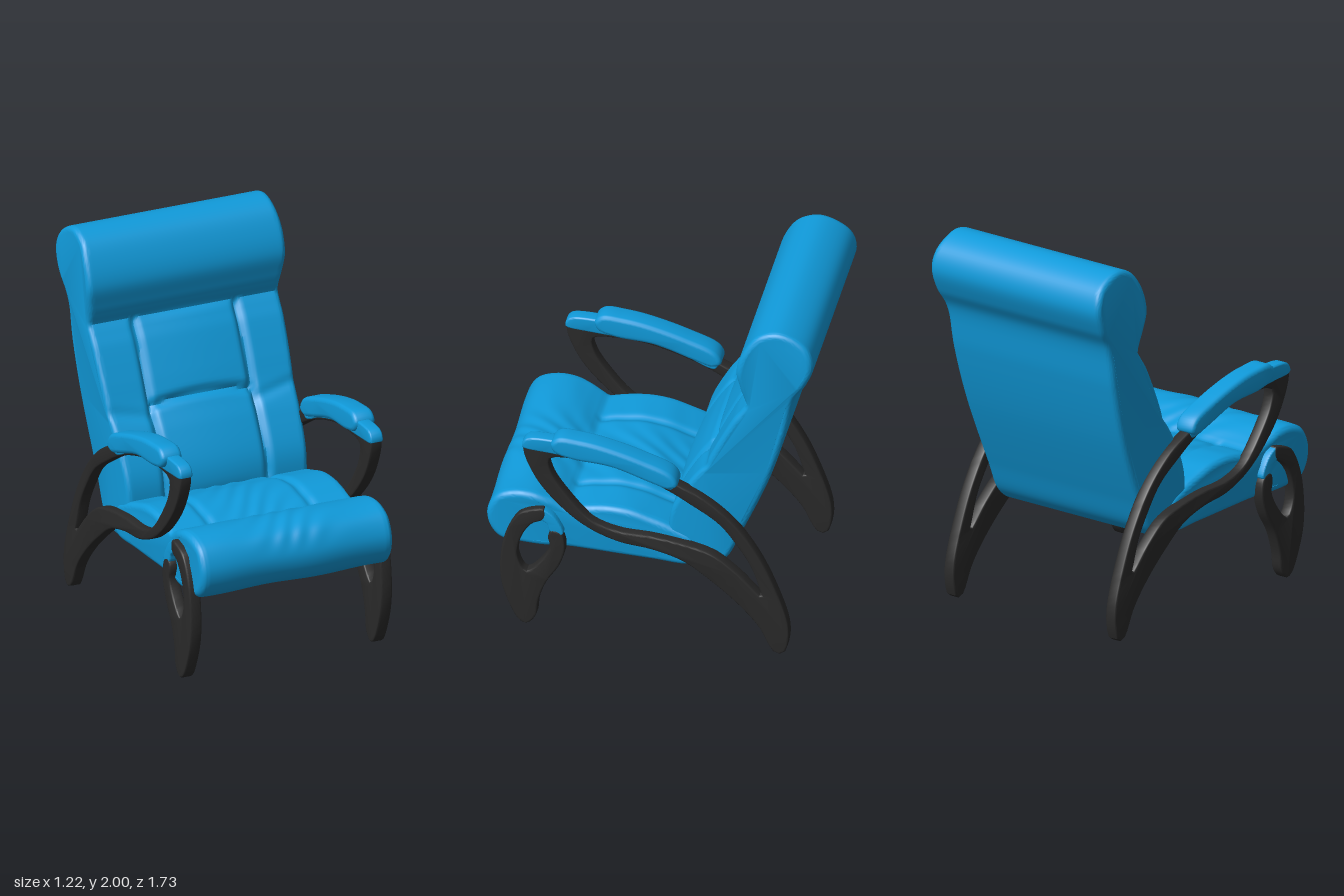
import * as THREE from 'three';
import { toCreasedNormals } from 'three/addons/utils/BufferGeometryUtils.js';

const blue = new THREE.MeshStandardMaterial({ color: 0x109ada });
blue.name = 'blue upholstery';
const black = new THREE.MeshStandardMaterial({ color: 0x2a2a2a });
black.name = 'black wood';

// Smooth closed outline through [z, y] points
function outline(points, count) {
  const curve = new THREE.CatmullRomCurve3(points.map(([z, y]) => new THREE.Vector3(z, y, 0)), true, 'centripetal');
  return curve.getSpacedPoints(count).slice(0, count).map(p => new THREE.Vector2(p.x, p.y));
}

const gauss = (d, w) => Math.exp(-(d * d) / (w * w));
const step = (v, a, b) => THREE.MathUtils.smoothstep(v, a, b);

// Cushion: a clockwise [z, y] profile swept across x with rounded ends;
// width(y) gives the half width and puff(x, y, z, nz, ny) a push along the normal
function cushion(points, count, round, width, puff) {
  const ring = outline(points, count);
  const normals = ring.map((p, j) => {
    const t = ring[(j + 1) % count].clone().sub(ring[(j + count - 1) % count]).normalize();
    return new THREE.Vector2(-t.y, t.x);
  });
  const stations = [];
  const arc = 7, inner = 76;
  for (let k = 0; k < arc; k++) stations.push([-1, k / arc * Math.PI / 2]);
  for (let k = 0; k <= inner; k++) stations.push([k / inner * 2 - 1, Math.PI / 2]);
  for (let k = arc - 1; k >= 0; k--) stations.push([1, k / arc * Math.PI / 2]);

  const pos = [], index = [];
  for (const [s, a] of stations) {
    ring.forEach((p, j) => {
      const n = normals[j], w = width(p.y, p.x);
      const x = s * (w - round) + Math.sign(s) * round * Math.cos(a);
      const push = puff(x, p.y, p.x, n.x, n.y) * Math.sin(a) - round * (1 - Math.sin(a));
      pos.push(x, p.y + n.y * push, p.x + n.x * push);
    });
  }
  for (let i = 0; i < stations.length - 1; i++) {
    for (let j = 0; j < count; j++) {
      const a = i * count + j, b = i * count + (j + 1) % count;
      index.push(a, b, a + count, b, b + count, a + count);
    }
  }
  // Flat side caps
  const last = (stations.length - 1) * count;
  const flat = ring.map((p, j) => p.clone().addScaledVector(normals[j], -round));
  for (const [a, b, c] of THREE.ShapeUtils.triangulateShape(flat, [])) {
    const ccw = THREE.ShapeUtils.area([flat[a], flat[b], flat[c]]) > 0;
    const [p, q] = ccw ? [b, c] : [c, b];
    index.push(a, p, q, last + a, last + q, last + p);
  }
  const geo = new THREE.BufferGeometry();
  geo.setAttribute('position', new THREE.Float32BufferAttribute(pos, 3));
  geo.setIndex(index);
  return toCreasedNormals(geo, 0.9);
}

// Slab: a [z, y] outline (with optional hole) extruded across x, centred on x = 0
function slab(points, width, bevel, hole) {
  const shape = new THREE.Shape(outline(points, 110));
  if (hole) shape.holes.push(new THREE.Path(outline(hole, 110)));
  const depth = width - 2 * bevel;
  const geo = new THREE.ExtrudeGeometry(shape, {
    depth, bevelEnabled: true, bevelThickness: bevel, bevelSize: bevel, bevelOffset: -bevel, bevelSegments: 3,
  });
  geo.translate(0, 0, -depth / 2).rotateY(-Math.PI / 2);
  return toCreasedNormals(geo, 0.6);
}

const backProfile = [
  [-0.30, 0.45], [-0.39, 0.51], [-0.47, 0.68], [-0.62, 1.05], [-0.71, 1.36], [-0.76, 1.60], [-0.82, 1.70],
  [-0.86, 1.82], [-0.83, 1.92], [-0.75, 1.98], [-0.66, 2.0], [-0.56, 1.96], [-0.49, 1.86], [-0.455, 1.74],
  [-0.475, 1.62], [-0.495, 1.52], [-0.43, 1.41], [-0.35, 1.25], [-0.28, 1.1], [-0.20, 0.98], [-0.11, 0.80],
  [-0.09, 0.68], [-0.10, 0.52], [-0.16, 0.46],
];
const seatProfile = [
  [-0.27, 0.49], [-0.22, 0.62], [-0.10, 0.68], [0.0, 0.715], [0.1, 0.745], [0.22, 0.755], [0.34, 0.74],
  [0.43, 0.725], [0.53, 0.77], [0.62, 0.80], [0.72, 0.80], [0.81, 0.76], [0.86, 0.66], [0.845, 0.56],
  [0.79, 0.495], [0.70, 0.48], [0.4, 0.47], [0.0, 0.455], [-0.2, 0.45],
];
const frameOuter = [
  [0.66, 1.10], [0.645, 1.155], [0.46, 1.165], [0.24, 1.14], [0.03, 1.07], [-0.15, 0.99], [-0.29, 0.92],
  [-0.45, 0.78], [-0.58, 0.59], [-0.67, 0.39], [-0.73, 0.20], [-0.735, 0.10], [-0.71, 0.01], [-0.67, 0.0],
  [-0.64, 0.03], [-0.58, 0.15], [-0.47, 0.28], [-0.31, 0.42], [-0.18, 0.51], [-0.02, 0.56], [0.16, 0.585],
  [0.32, 0.65], [0.46, 0.76], [0.59, 0.92],
];
const frameHole = [
  [0.52, 1.055], [0.40, 1.075], [0.25, 1.065], [0.05, 1.01], [-0.10, 0.945], [-0.21, 0.88], [-0.37, 0.77],
  [-0.47, 0.64], [-0.54, 0.52], [-0.58, 0.40], [-0.595, 0.345], [-0.47, 0.47], [-0.34, 0.57], [-0.21, 0.61],
  [-0.02, 0.64], [0.16, 0.65], [0.30, 0.70], [0.43, 0.84], [0.51, 0.97],
];
const wrapProfile = [
  [0.665, 1.115], [0.645, 1.165], [0.46, 1.175], [0.24, 1.15], [0.03, 1.08], [-0.14, 1.0], [-0.12, 0.955],
  [0.05, 1.02], [0.25, 1.075], [0.40, 1.085], [0.54, 1.095],
];
const padProfile = [
  [0.51, 1.17], [0.47, 1.21], [0.36, 1.208], [0.24, 1.19], [0.03, 1.13], [-0.13, 1.06], [-0.155, 1.0],
  [-0.11, 0.975], [-0.02, 1.0], [0.19, 1.07], [0.40, 1.09], [0.49, 1.12],
];
const legProfile = [
  [0.78, 0.39], [0.75, 0.56], [0.68, 0.69], [0.615, 0.72], [0.55, 0.73], [0.55, 0.67], [0.615, 0.63],
  [0.67, 0.54], [0.69, 0.42], [0.645, 0.33], [0.57, 0.40], [0.52, 0.50], [0.53, 0.56], [0.51, 0.605],
  [0.46, 0.59], [0.44, 0.50], [0.47, 0.39], [0.54, 0.27], [0.58, 0.15], [0.595, 0.05], [0.64, 0.0],
  [0.68, 0.015], [0.74, 0.13], [0.775, 0.25],
];
const legWrap = [[0.57, 0.73], [0.50, 0.69], [0.45, 0.59], [0.48, 0.57], [0.52, 0.60], [0.535, 0.64], [0.57, 0.67]];

// Seams and soft panels on the front of the backrest
function backPuff(x, y, z, nz) {
  const front = step(nz, 0.2, 0.6) * step(y, 0.6, 0.72);
  const panels = 1 - step(y, 1.49, 1.53);
  const ax = Math.abs(x);
  const centre = 1 - step(ax, 0.28, 0.30);
  const seamY = 1.13 - 0.3 * x * x;
  const grooves = 0.028 * gauss(ax - 0.29, 0.018) * panels
    + 0.03 * gauss(y - seamY, 0.02) * centre
    + 0.01 * gauss(y - 1.08 - 0.2 * (ax - 0.4), 0.025) * (1 - centre)
    + 0.012 * gauss(y - 1.52, 0.018);
  const bulge = 0.012 * centre * panels * Math.cos(x / 0.29 * Math.PI / 2);
  return front * (bulge - grooves);
}

// Seams and faint creases on the top of the seat
function seatPuff(x, y, z, nz, ny) {
  const top = step(ny, 0.2, 0.7);
  const rear = 1 - step(z, 0.40, 0.46);
  const crease = 0.003 * Math.sin(38 * (x + z) + 3 * Math.sin(9 * x)) * gauss(x, 0.3);
  return top * (crease - 0.016 * gauss(Math.abs(x) - 0.29, 0.022) * rear - 0.01 * gauss(z - 0.43, 0.018))
    + 0.004 * Math.sin(11 * x) * step(z, 0.5, 0.7);
}

export function createModel() {
  const model = new THREE.Group();
  model.name = 'armchair';
  const add = (name, geo, material, x = 0) => {
    const mesh = new THREE.Mesh(geo, material);
    mesh.name = name;
    mesh.position.x = x;
    model.add(mesh);
  };

  const backWidth = y => 0.515 + 0.03 * step(y, 0.6, 1.5) + 0.022 * step(y, 1.5, 1.75) - 0.012 * step(y, 1.85, 2);
  add('backrest', cushion(backProfile, 210, 0.03, backWidth, backPuff), blue);
  const seatWidth = (y, z) => 0.525 + 0.022 * step(z, 0.4, 0.6);
  add('seat', cushion(seatProfile, 150, 0.035, seatWidth, seatPuff), blue);

  // Mirrored wooden sides with upholstered arms
  const parts = [
    ['armFrame', slab(frameOuter, 0.065, 0.01, frameHole), black, 0.543],
    ['armWrap', slab(wrapProfile, 0.072, 0.01), blue, 0.543],
    ['armPad', slab(padProfile, 0.12, 0.022), blue, 0.55],
    ['frontLeg', slab(legProfile, 0.065, 0.01), black, 0.543],
    ['legWrap', slab(legWrap, 0.06, 0.008), blue, 0.543],
  ];
  for (const [side, s] of [['left', 1], ['right', -1]]) {
    for (const [name, geo, material, x] of parts) add(`${side} ${name}`, geo, material, s * x);
  }
  return model;
}
